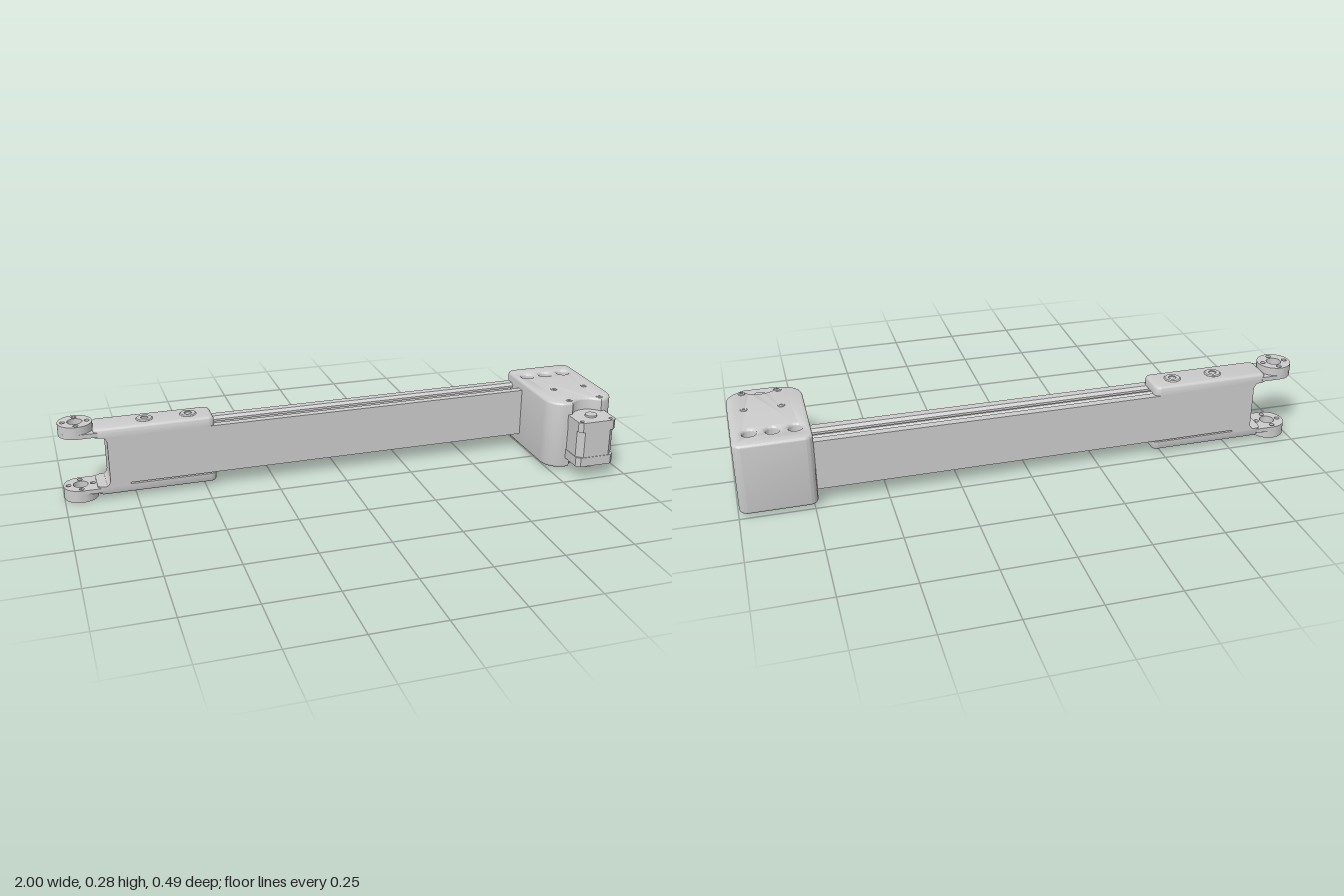
import * as THREE from 'three';
import { toCreasedNormals } from 'three/addons/utils/BufferGeometryUtils.js';

const material = new THREE.MeshStandardMaterial({ color: 0xcccccc });
const AXIS_Z = -0.16; // centre line of the beam
const MID_Y = 0.1425; // mirror height of the fork

function part(parent, name, geometry) {
  const mesh = new THREE.Mesh(geometry, material);
  mesh.name = name;
  parent.add(mesh);
  return mesh;
}

// Extrude a plan (x, z) between two heights, optionally with rounded edges
function slab(shape, y0, y1, bevel = 0) {
  const g = new THREE.ExtrudeGeometry(shape, {
    depth: y1 - y0 - 2 * bevel, curveSegments: 20, bevelEnabled: bevel > 0,
    bevelThickness: bevel, bevelSize: bevel, bevelOffset: -bevel, bevelSegments: 4,
  });
  g.rotateX(Math.PI / 2);
  g.translate(0, y1 - bevel, 0);
  return g;
}

function hole(shape, x, y, r) {
  shape.holes.push(new THREE.Path().absarc(x, y, r, 0, Math.PI * 2, true));
}

function roundedRect(x0, y0, x1, y1, r) {
  const s = new THREE.Shape();
  s.absarc(x1 - r, y0 + r, r, -Math.PI / 2, 0);
  s.absarc(x1 - r, y1 - r, r, 0, Math.PI / 2);
  s.absarc(x0 + r, y1 - r, r, Math.PI / 2, Math.PI);
  s.absarc(x0 + r, y0 + r, r, Math.PI, Math.PI * 1.5);
  s.closePath();
  return s;
}

// Screw head with a recessed socket, its top standing at y
function screw(parent, name, x, y, z, r) {
  const profile = [[1, -0.4], [1, -0.12], [0.88, 0], [0.45, 0], [0.45, -0.35], [0, -0.35]]
    .map(([a, b]) => new THREE.Vector2(a * r, b * r));
  const g = toCreasedNormals(new THREE.LatheGeometry(profile, 24), 0.5);
  part(parent, name, g).position.set(x, y, z);
}

// Hollow-topped beam with a T-slot along the top and bottom
function addBeam(group) {
  const half = [[-0.06, 0.09], [-0.032, 0.09], [-0.022, 0.08], [-0.022, 0.072], [-0.04, 0.072],
    [-0.04, 0.06], [-0.02, 0.04], [0.02, 0.04], [0.04, 0.06], [0.04, 0.072], [0.022, 0.072],
    [0.022, 0.08], [0.032, 0.09], [0.06, 0.09]];
  const points = [...half, ...half.map(([x, y]) => [-x, -y])].map((p) => new THREE.Vector2(...p));
  const g = new THREE.ExtrudeGeometry(new THREE.Shape(points), { depth: 1.55, bevelEnabled: false });
  g.rotateY(Math.PI / 2);
  part(group, 'beam', g).position.set(-0.77, 0.145, AXIS_Z);
}

// One arm of the fork: clamp plate, eyelet and bearing disc
function forkArm() {
  const arm = new THREE.Group();
  arm.name = 'forkArm';

  const plate = slab(roundedRect(-0.885, AXIS_Z - 0.06, -0.46, AXIS_Z + 0.06, 0.022), 0.21, 0.268, 0.014);
  const pos = plate.attributes.position;
  for (let i = 0; i < pos.count; i++) pos.setY(i, Math.max(pos.getY(i), 0.235)); // flat underside
  part(arm, 'clampPlate', toCreasedNormals(plate, 0.6));

  const addHoles = (s) => {
    hole(s, -0.94, AXIS_Z, 0.026);
    for (let i = 0; i < 4; i++) {
      const a = (i * Math.PI) / 2;
      hole(s, -0.94 + 0.042 * Math.cos(a), AXIS_Z + 0.042 * Math.sin(a), 0.009);
    }
    return s;
  };
  const eyelet = new THREE.Shape();
  eyelet.absarc(-0.94, AXIS_Z, 0.06, Math.PI / 2, Math.PI * 1.5);
  eyelet.lineTo(-0.87, AXIS_Z - 0.06);
  eyelet.lineTo(-0.87, AXIS_Z + 0.06);
  part(arm, 'eyelet', toCreasedNormals(slab(addHoles(eyelet), 0.24, 0.256), 0.6));

  const disc = new THREE.Shape().absarc(-0.94, AXIS_Z, 0.06, 0, Math.PI * 2);
  part(arm, 'bearingDisc', toCreasedNormals(slab(addHoles(disc), 0.256, 0.285), 0.6));

  for (const x of [-0.7, -0.545]) screw(arm, 'clampScrew', x, 0.272, AXIS_Z, 0.03);
  return arm;
}

function addFork(group) {
  const fork = new THREE.Group();
  fork.name = 'fork';
  group.add(fork);

  // Web between the arms, with filleted inner corners
  const web = new THREE.Shape();
  web.moveTo(-0.77, 0.045);
  web.lineTo(-0.77, 0.24);
  web.lineTo(-0.868, 0.24);
  web.absarc(-0.868, 0.212, 0.028, Math.PI / 2, 0, true);
  web.lineTo(-0.84, 0.073);
  web.absarc(-0.868, 0.073, 0.028, 0, -Math.PI / 2, true);
  const g = new THREE.ExtrudeGeometry(web, { depth: 0.12, bevelEnabled: false });
  part(fork, 'forkWeb', toCreasedNormals(g, 0.6)).position.z = AXIS_Z - 0.06;

  fork.add(forkArm());
  const lower = forkArm(); // half turn about the beam's axis
  lower.rotation.x = Math.PI;
  lower.position.set(0, 2 * MID_Y, 2 * AXIS_Z);
  fork.add(lower);
}

function addHousing(group) {
  const housing = new THREE.Group();
  housing.name = 'housing';
  group.add(housing);

  // Plan with round front corners and a round pocket for the motor
  const cx = 0.866;
  const mx = 0.877;
  const mz = 0.185;
  const a = Math.asin((mz - 0.154) / 0.066);
  const s = new THREE.Shape();
  s.absarc(cx + 0.1, -0.217, 0.03, -Math.PI / 2, 0);
  s.absarc(cx + 0.06, 0.084, 0.07, 0, Math.PI / 2 - 0.15);
  s.absarc(mx, mz, 0.066, -a, Math.PI + a, true);
  s.absarc(cx - 0.06, 0.084, 0.07, Math.PI / 2 + 0.15, Math.PI);
  s.absarc(cx - 0.1, -0.217, 0.03, Math.PI, Math.PI * 1.5);
  s.closePath();
  for (const x of [0.785, 0.86, 0.935]) hole(s, x, AXIS_Z, 0.023);
  part(housing, 'gearHousing', toCreasedNormals(slab(s, 0.011, 0.268, 0.01), 0.6));

  // Floor of the bored holes
  part(housing, 'holeFloor', new THREE.BoxGeometry(0.21, 0.19, 0.08)).position.set(0.86, 0.14, AXIS_Z);

  for (const x of [0.815, 0.94]) {
    for (const z of [0.005, 0.127]) {
      screw(housing, 'coverScrew', x, 0.27, z, 0.012);
      const bottom = new THREE.Group();
      bottom.name = 'lowerCoverScrew';
      bottom.rotation.x = Math.PI;
      screw(bottom, 'coverScrew', x, -0.009, -z, 0.012);
      housing.add(bottom);
    }
  }
}

function addMotor(group) {
  const motor = new THREE.Group();
  motor.name = 'motor';
  group.add(motor);

  // Square body with clipped corners: end flanges and a slightly slimmer core
  const plan = (inset, c) => {
    const x0 = 0.803 + inset, x1 = 0.951 - inset, z0 = 0.1 + inset, z1 = 0.247 - inset;
    return new THREE.Shape([[x0 + c, z0], [x1 - c, z0], [x1, z0 + c], [x1, z1 - c],
      [x1 - c, z1], [x0 + c, z1], [x0, z1 - c], [x0, z0 + c]].map((p) => new THREE.Vector2(...p)));
  };
  const flange = plan(0, 0.014);
  for (const x of [0.82, 0.934]) hole(flange, x, 0.228, 0.007);
  part(motor, 'topFlange', slab(flange, 0.185, 0.222));
  part(motor, 'motorCore', slab(plan(0.002, 0.022), 0.085, 0.185));
  part(motor, 'bottomFlange', slab(flange, 0.05, 0.085));

  part(motor, 'topBoss', new THREE.CylinderGeometry(0.022, 0.022, 0.008, 32)).position.set(0.877, 0.225, 0.185);
  part(motor, 'shaft', new THREE.CylinderGeometry(0.0175, 0.0175, 0.03, 32)).position.set(0.877, 0.04, 0.187);
}

export function createModel() {
  const group = new THREE.Group();
  group.name = 'motorisedArm';
  addBeam(group);
  addFork(group);
  addHousing(group);
  addMotor(group);
  return group;
}
